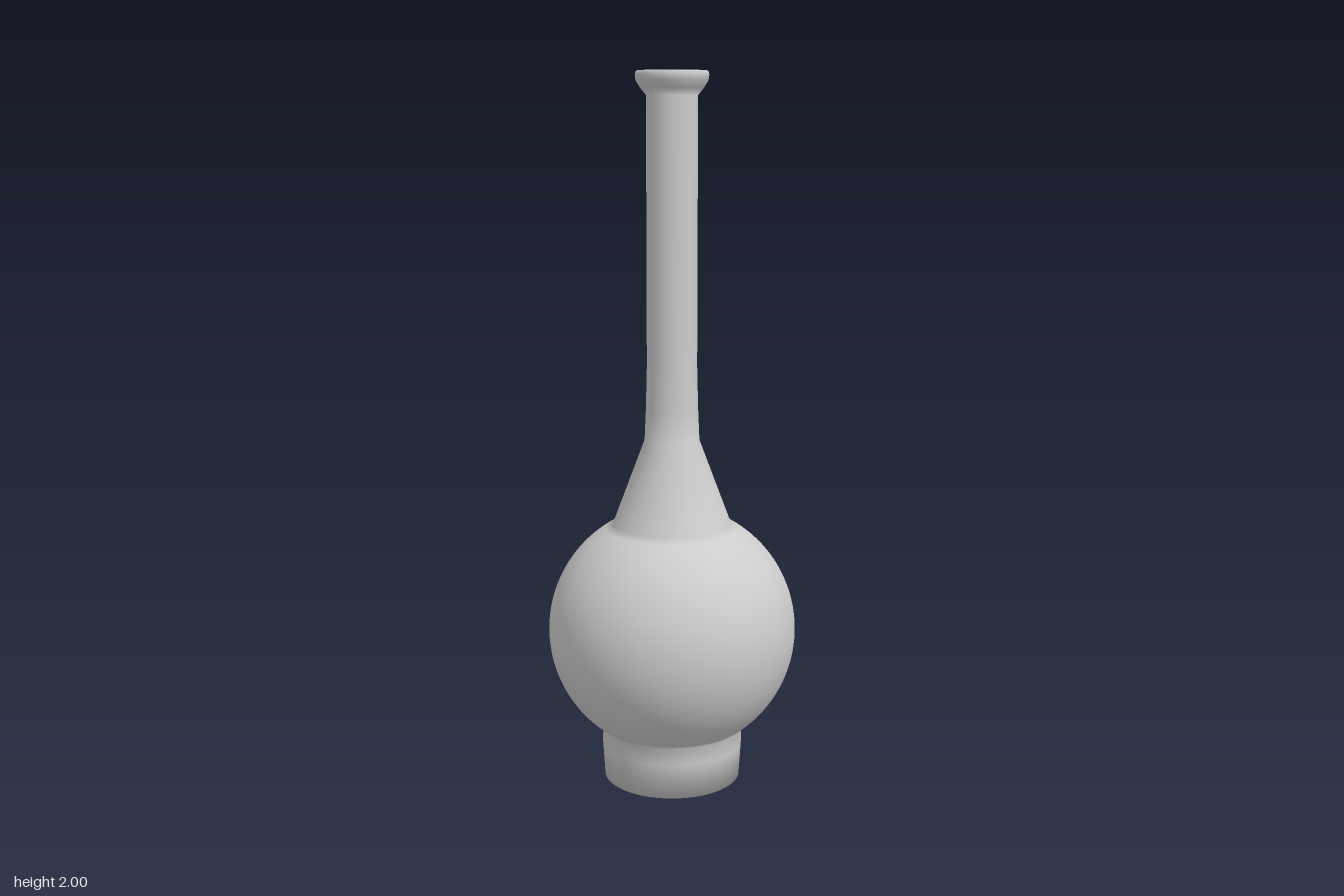
import * as THREE from 'three';

export function createModel() {
  const group = new THREE.Group();
  const grey = new THREE.MeshStandardMaterial({ color: 0xcccccc });
  grey.name = 'plain grey';

  // Arc of the round belly, between two heights
  const belly = (radius, from, to, steps) => {
    const points = [], centre = 0.44;
    const a = Math.asin((from - centre) / radius), b = Math.asin((to - centre) / radius);
    for (let i = 0; i <= steps; i++) {
      const t = a + (b - a) * i / steps;
      points.push([radius * Math.cos(t), centre + radius * Math.sin(t)]);
    }
    return points;
  };

  const profile = [
    // closed foot
    [0, 0], [0.195, 0], [0.201, 0.1],
    // belly
    ...belly(0.352, 0.15, 0.75, 28),
    // shoulder cone and neck
    [0.077, 0.99], [0.073, 1.08], [0.07, 1.2], [0.07, 1.935],
    // flared lip
    [0.085, 1.953], [0.098, 1.974], [0.1, 1.988], [0.098, 1.998], [0.093, 2], [0.087, 1.993],
    // funnel and hollow inside
    [0.075, 1.96], [0.06, 1.935], [0.06, 1.9], [0.06, 1.05], [0.065, 0.98],
    ...belly(0.33, 0.135, 0.73, 16).reverse(), [0.12, 0.13], [0, 0.13],
  ];

  const vase = new THREE.Mesh(
    new THREE.LatheGeometry(profile.map(([r, y]) => new THREE.Vector2(r, y)), 96), grey);
  vase.name = 'longNeckedVase';
  group.add(vase);
  return group;
}
